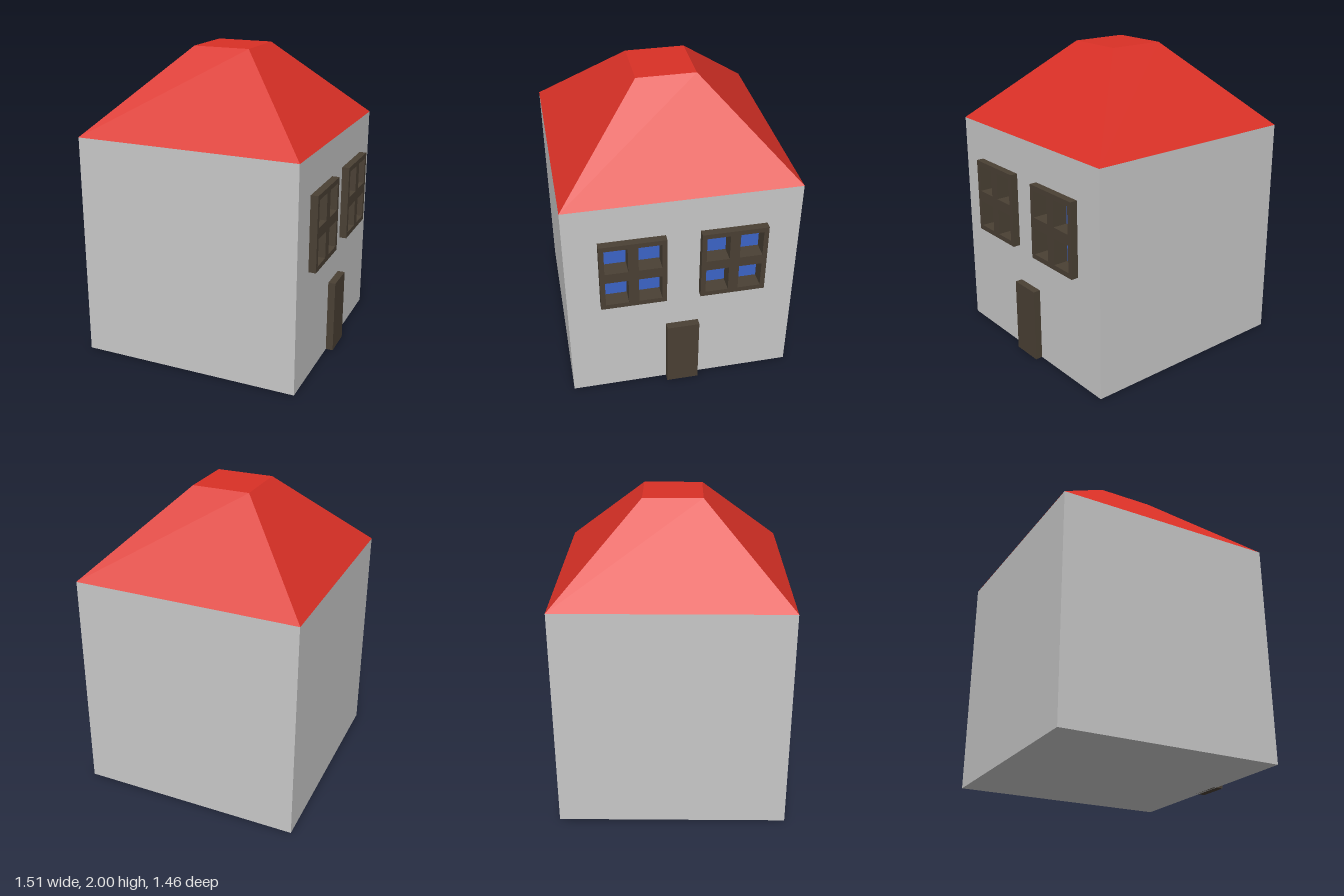
import * as THREE from 'three';

const wallMat = new THREE.MeshStandardMaterial({ color: 0xc8c8c8 });
wallMat.name = 'wall grey';
const roofMat = new THREE.MeshStandardMaterial({ color: 0xd93026 });
roofMat.name = 'roof red';
const woodMat = new THREE.MeshStandardMaterial({ color: 0x4a4034 });
woodMat.name = 'dark wood';
const glassMat = new THREE.MeshStandardMaterial({ color: 0x3c64c8 });
glassMat.name = 'window blue';

const HALF = 0.7315, WALL_TOP = 1.47;
const WALL_MIN = -0.755, WALL_MAX = 0.705; // wall extent in x
const RECESS = 0.65, FRONT = 0.753;        // back and front of the window frames
const WIN_W = 0.415, WIN_Y0 = 0.735, WIN_Y1 = 1.225;
const WINDOWS = [0.317, -0.313];           // window centres in z

function rect(PathType, x0, x1, y0, y1) {
  const p = new PathType();
  p.moveTo(x0, y0).lineTo(x1, y0).lineTo(x1, y1).lineTo(x0, y1).closePath();
  return p;
}

// Extrudes a (-z, y) outline along +x from x0 to x1
function slab(shape, x0, x1) {
  const g = new THREE.ExtrudeGeometry(shape, { depth: x1 - x0, bevelEnabled: false });
  return g.rotateY(Math.PI / 2).translate(x0, 0, 0);
}

function add(parent, name, geometry, material) {
  const m = new THREE.Mesh(geometry, material);
  m.name = name;
  parent.add(m);
  return m;
}

function box(x0, x1, y0, y1, z0, z1) {
  return new THREE.BoxGeometry(x1 - x0, y1 - y0, z1 - z0)
    .translate((x0 + x1) / 2, (y0 + y1) / 2, (z0 + z1) / 2);
}

// Four-pane window: one frame with holes and a thin sheet of glass behind it
function makeWindow(zc) {
  const win = new THREE.Group();
  win.name = 'window';
  const w = WIN_W / 2;
  const frame = rect(THREE.Shape, -zc - w, -zc + w, WIN_Y0, WIN_Y1);
  for (const [a, b] of [[-0.177, -0.032], [0.032, 0.177]])
    for (const [y0, y1] of [[0.768, 0.945], [1.015, 1.192]])
      frame.holes.push(rect(THREE.Path, -zc + a, -zc + b, y0, y1));
  add(win, 'windowFrame', slab(frame, RECESS, FRONT), woodMat);
  add(win, 'windowGlass',
    box(RECESS - 0.002, RECESS + 0.004, WIN_Y0 + 0.01, WIN_Y1 - 0.01, zc - w + 0.01, zc + w - 0.01), glassMat);
  return win;
}

export function createModel() {
  const house = new THREE.Group();
  house.name = 'house';

  // Body, with an outer wall layer that has the window openings
  add(house, 'walls', box(WALL_MIN, RECESS, 0, WALL_TOP, -HALF, HALF), wallMat);
  const face = rect(THREE.Shape, -HALF, HALF, 0, WALL_TOP);
  for (const zc of WINDOWS)
    face.holes.push(rect(THREE.Path, -zc - WIN_W / 2, -zc + WIN_W / 2, WIN_Y0, WIN_Y1));
  add(house, 'windowWall', slab(face, RECESS, WALL_MAX), wallMat);

  // Truncated pyramid roof
  const roof = new THREE.CylinderGeometry(0.1875 * Math.SQRT2, HALF * Math.SQRT2, 2 - WALL_TOP, 4)
    .rotateY(Math.PI / 4)
    .translate((WALL_MIN + WALL_MAX) / 2, (2 + WALL_TOP) / 2, 0)
    .toNonIndexed();
  roof.computeVertexNormals();
  add(house, 'roof', roof, roofMat);

  for (const zc of WINDOWS) house.add(makeWindow(zc));

  add(house, 'door', box(WALL_MAX - 0.02, FRONT, 0, 0.49, -0.105, 0.105), woodMat);
  return house;
}
